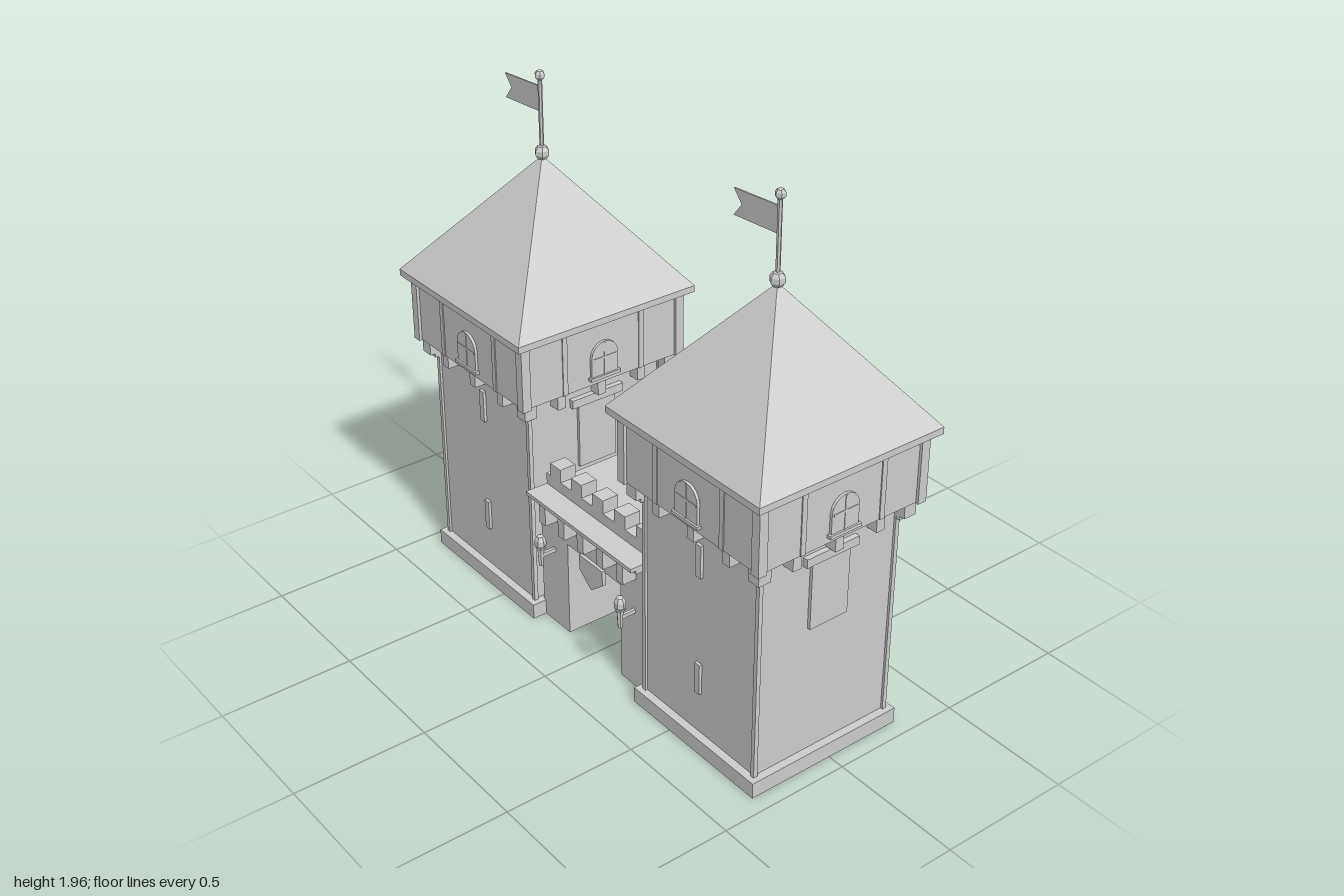
import * as THREE from 'three';

const CX = -0.02, TZ = 0.62;
const stone = new THREE.MeshStandardMaterial({ color: 0xcccccc, flatShading: true });
stone.name = 'paleStone';

function mesh(parent, name, geo, x = 0, y = 0, z = 0) {
  const m = new THREE.Mesh(geo, stone);
  m.name = name;
  m.position.set(x, y, z);
  parent.add(m);
  return m;
}
// Box given by its centre in x and z, and its bottom and top heights
function box(parent, name, w, y0, y1, d, x = 0, z = 0) {
  return mesh(parent, name, new THREE.BoxGeometry(w, y1 - y0, d), x, (y0 + y1) / 2, z);
}
// Flat outline in the xy plane, extruded towards +z
function plate(parent, name, pts, depth, z = 0) {
  const shape = new THREE.Shape(pts.map(p => new THREE.Vector2(p[0], p[1])));
  return mesh(parent, name, new THREE.ExtrudeGeometry(shape, { depth, bevelEnabled: false }), 0, 0, z);
}
// Thin-walled rectangular shell, open below and above
function shell(parent, name, w, y0, y1, d, z = 0) {
  const t = 0.006;
  const rect = (a, b) => [[-a, -b], [a, -b], [a, b], [-a, b]].map(p => new THREE.Vector2(p[0], p[1]));
  const shape = new THREE.Shape(rect(w / 2, d / 2));
  shape.holes.push(new THREE.Path(rect(w / 2 - t, d / 2 - t)));
  const geo = new THREE.ExtrudeGeometry(shape, { depth: y1 - y0, bevelEnabled: false });
  geo.rotateX(-Math.PI / 2);
  return mesh(parent, name, geo, 0, y0, z);
}
function group(parent, name) {
  const g = new THREE.Group();
  g.name = name;
  parent.add(g);
  return g;
}

// Arched window with sill and glazing bars, facing +z
function addWindow(side) {
  const pts = [[-0.057, 0.937], [0.057, 0.937]];
  for (let i = 0; i <= 8; i++) {
    const a = i / 8 * Math.PI;
    pts.push([0.057 * Math.cos(a), 1.013 + 0.057 * Math.sin(a)]);
  }
  plate(side, 'windowPanel', pts, 0.012, 0.338);
  box(side, 'windowSill', 0.13, 0.928, 0.94, 0.02, 0, 0.347);
  box(side, 'windowMullion', 0.008, 0.94, 1.065, 0.004, 0, 0.35);
  box(side, 'windowTransom', 0.1, 1.003, 1.011, 0.004, 0, 0.35);
}

function addSlit(side, y0, y1) {
  box(side, 'arrowSlit', 0.026, y0, y1, 0.014, 0, 0.29);
}

function addWideBanner(side) {
  box(side, 'bannerRail', 0.22, 0.812, 0.845, 0.02, 0, 0.296);
  box(side, 'wideBanner', 0.16, 0.56, 0.812, 0.012, 0, 0.293);
}

function addPennant(side) {
  box(side, 'pennantRail', 0.13, 0.882, 0.895, 0.02, 0, 0.298);
  plate(side, 'pennant', [[-0.048, 0.885], [-0.048, 0.615], [0, 0.655], [0.048, 0.615], [0.048, 0.885]], 0.011, 0.287);
  plate(side, 'pennantDiamond', [[-0.02, 0.765], [0, 0.735], [0.02, 0.765], [0, 0.795]], 0.008, 0.298);
}

function makeTower(parent, z) {
  const t = group(parent, 'tower');
  t.position.set(CX, 0, z);
  shell(t, 'plinth', 0.632, 0, 0.054, 0.632);
  box(t, 'plinthTop', 0.632, 0.054, 0.06, 0.632);
  box(t, 'shaft', 0.572, 0.06, 0.905, 0.572);
  box(t, 'upperStorey', 0.68, 0.905, 1.155, 0.68);

  // Corner pieces
  for (const sx of [-1, 1]) for (const sz of [-1, 1]) {
    box(t, 'cornerPost', 0.035, 0.902, 1.155, 0.035, sx * 0.3335, sz * 0.3335);
    box(t, 'quoin', 0.016, 0.06, 0.905, 0.016, sx * 0.287, sz * 0.287);
    box(t, 'cornerCorbel', 0.05, 0.85, 0.905, 0.05, sx * 0.305, sz * 0.305);
    box(t, 'lowerCornerCorbel', 0.03, 0.835, 0.85, 0.03, sx * 0.295, sz * 0.295);
  }

  // Four sides, each built facing +z and turned into place
  for (let k = 0; k < 4; k++) {
    const side = group(t, ['frontSide', 'leftSide', 'backSide', 'rightSide'][k]);
    side.rotation.y = k * Math.PI / 2;
    for (const x of [-0.175, 0, 0.175]) {
      box(side, 'corbel', 0.034, 0.848, 0.905, 0.045, x, 0.308);
    }
    box(side, 'corbelBand', 0.6, 0.89, 0.905, 0.016, 0, 0.293);
    for (const x of [-0.165, 0.165]) {
      box(side, 'wallTimber', 0.02, 0.905, 1.155, 0.008, x, 0.34);
    }
    addWindow(side);
    if (k % 2 === 0) addWideBanner(side);
    else addSlit(side, 0.225, 0.345);
    if (k === 1) addPennant(side);
    if (k === 3) addSlit(side, 0.69, 0.815);
  }

  // Roof
  box(t, 'eaves', 0.756, 1.155, 1.18, 0.756);
  const roof = new THREE.ConeGeometry(0.378 * Math.SQRT2, 0.47, 4);
  roof.rotateY(Math.PI / 4);
  mesh(t, 'roof', roof, 0, 1.415, 0);

  // Triangular dormer, sheared to lean with the roof slope
  const dormer = plate(t, 'dormer', [[-0.065, 0], [0.065, 0], [0, 0.072]], 0.06);
  const shear = new THREE.Matrix4().set(1, 0, 0, 0, 0, 1, 0, 0, 0, -0.62, 1, -0.06, 0, 0, 0, 1);
  dormer.geometry.applyMatrix4(shear).rotateY(Math.PI / 2);
  dormer.position.set(0.267, 1.338, 0);

  // Finial, flagpole and swallow-tailed flag
  mesh(t, 'finialBall', new THREE.SphereGeometry(0.028, 6, 5), 0, 1.662, 0);
  mesh(t, 'flagpole', new THREE.CylinderGeometry(0.008, 0.008, 0.28, 6), 0, 1.8, 0);
  mesh(t, 'poleBall', new THREE.SphereGeometry(0.019, 6, 5), 0, 1.943, 0);
  const flag = plate(t, 'flag', [[0, 1.81], [0.21, 1.798], [0.172, 1.845], [0.21, 1.888], [0, 1.902]], 0.006, -0.003);
  flag.geometry.rotateY(Math.PI / 2);
}

function makeTorch(side, x) {
  const t = group(side, 'torch');
  t.position.set(x, 0, 0.322);
  mesh(t, 'torchHandle', new THREE.CylinderGeometry(0.013, 0.009, 0.075, 6), 0, 0.318, 0);
  mesh(t, 'torchCup', new THREE.CylinderGeometry(0.022, 0.012, 0.02, 6), 0, 0.355, 0);
  const flame = mesh(t, 'torchFlame', new THREE.SphereGeometry(0.022, 6, 5), 0, 0.378, 0);
  flame.scale.y = 1.5;
  box(t, 'torchBracket', 0.012, 0.315, 0.33, 0.07, 0, -0.035);
}

function makeGate(parent) {
  const g = group(parent, 'gatehouse');
  g.position.x = CX;

  // Hollow piers, lintel and walkway
  for (const s of [-1, 1]) shell(g, 'pier', 0.52, 0, 0.545, 0.16, s * 0.235);
  box(g, 'lintel', 0.52, 0.385, 0.545, 0.312);
  box(g, 'walkway', 0.656, 0.545, 0.56, 0.61);

  // Both faces, built facing +z and turned to +x and -x
  for (const s of [1, -1]) {
    const side = group(g, s > 0 ? 'gateFront' : 'gateBack');
    side.rotation.y = s * Math.PI / 2;
    box(side, 'parapet', 0.61, 0.56, 0.603, 0.065, 0, 0.206);
    for (let i = -2; i <= 2; i++) {
      box(side, 'merlon', 0.062, 0.603, 0.655, 0.065, i * 0.125, 0.206);
      box(side, 'gateCorbel', 0.037, 0.458, 0.545, 0.06, i * 0.113, 0.286);
    }
    box(side, 'corbelStrip', 0.61, 0.53, 0.545, 0.05, 0, 0.28);
    plate(side, 'shield', [[-0.068, 0.395], [-0.068, 0.335], [0, 0.28],
      [0.068, 0.335], [0.068, 0.395]], 0.015, 0.258);
    for (const x of [-0.235, 0.235]) makeTorch(side, x);
  }

  // Raised portcullis
  for (let i = -2; i <= 2; i++) {
    box(g, 'portcullisBar', 0.012, 0.302, 0.39, 0.014, 0, i * 0.07);
  }
  box(g, 'portcullisRail', 0.014, 0.3, 0.312, 0.312);

  // Open door leaves
  for (const s of [-1, 1]) box(g, 'doorLeaf', 0.16, 0.015, 0.385, 0.02, 0.335, s * 0.149);
}

export function createModel() {
  const model = new THREE.Group();
  model.name = 'twinTowerGate';
  makeTower(model, TZ);
  makeTower(model, -TZ);
  makeGate(model);
  return model;
}
